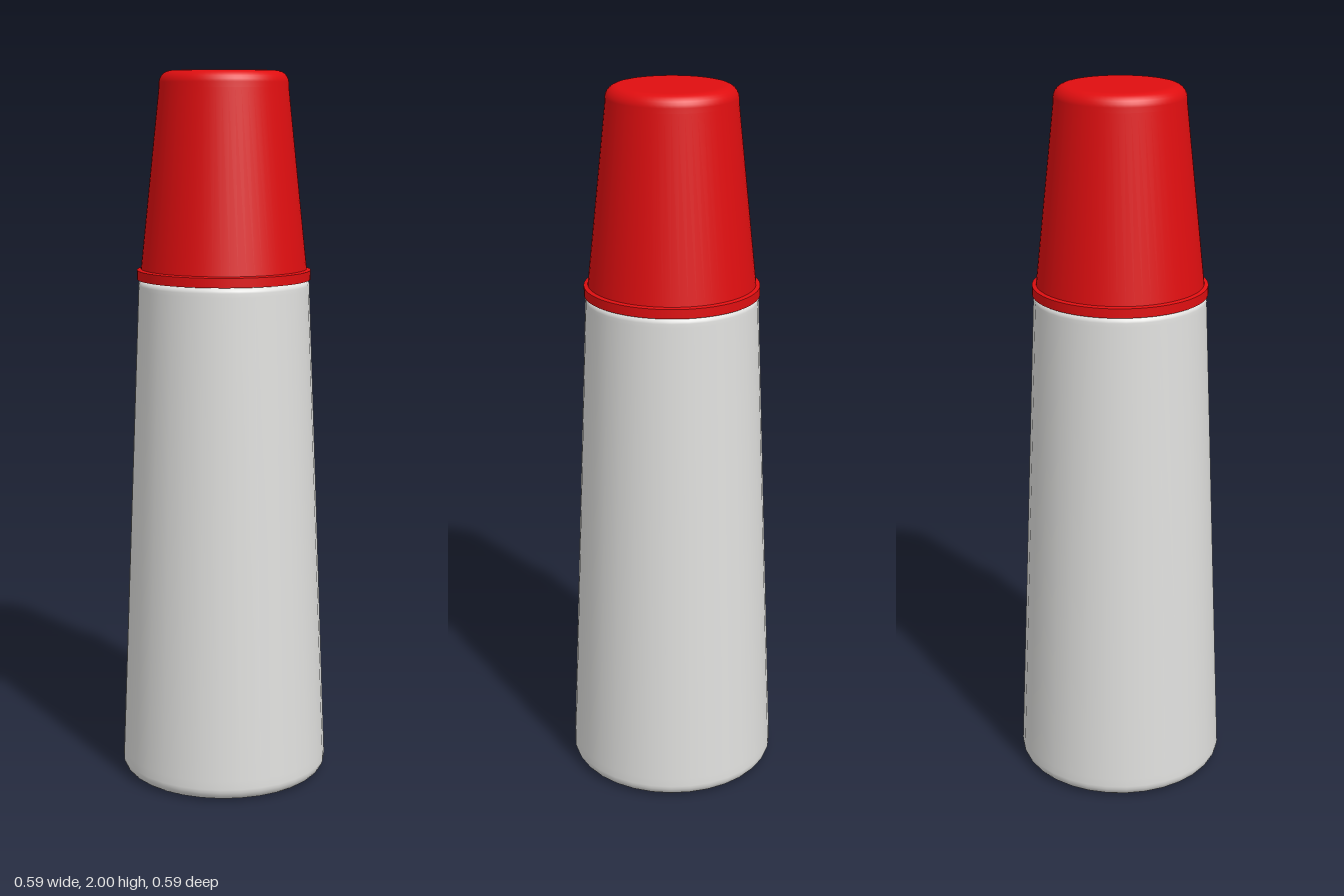
import * as THREE from 'three';

const white = new THREE.MeshStandardMaterial({ name: 'offWhite', color: 0xe0e0de });
const red = new THREE.MeshStandardMaterial({ name: 'red', color: 0xe00e10 });

// Smooth surface of revolution; the profile runs from bottom to top
function turned(name, profile, sides, material) {
  const points = profile.map(([r, y]) => new THREE.Vector2(r, y));
  const mesh = new THREE.Mesh(new THREE.LatheGeometry(points, sides), material);
  mesh.name = name;
  return mesh;
}

// Quarter-round corner points from angle a to b (degrees)
function arc(cx, cy, radius, a, b, steps = 6) {
  return Array.from({ length: steps + 1 }, (_, i) => {
    const t = THREE.MathUtils.degToRad(a + ((b - a) * i) / steps);
    return [cx + radius * Math.cos(t), cy + radius * Math.sin(t)];
  });
}

export function createModel() {
  const model = new THREE.Group();
  model.name = 'bottle';

  // Tapered body with rounded foot and shoulder
  const body = new THREE.Group();
  body.name = 'body';
  body.add(
    turned('base', [[0, 0.012], [0.12, 0.01], [0.19, 0.006], [0.21, 0]], 32, white),
    turned('wall', [
      [0.21, 0], [0.24, 0],
      ...arc(0.26, 0.035, 0.035, -90, 2),
      [0.294, 0.06], [0.239, 1.405],
      ...arc(0.224, 1.415, 0.015, 2, 90, 4),
      [0.21, 1.43], [0, 1.43],
    ], 32, white),
  );

  // Tapered cap with a thin rim and rounded top edge
  const cap = new THREE.Group();
  cap.name = 'cap';
  cap.add(
    turned('rimUnderside', [[0.2, 1.431], [0.242, 1.431]], 64, red),
    turned('rimEdge', [[0.242, 1.431], [0.242, 1.457]], 64, red),
    turned('rimTop', [[0.242, 1.457], [0.231, 1.46]], 64, red),
    turned('capWall', [
      [0.231, 1.46], [0.178, 1.955],
      ...arc(0.143, 1.965, 0.035, 6, 90),
      [0.13, 2], [0, 2],
    ], 64, red),
  );

  model.add(body, cap);
  return model;
}
